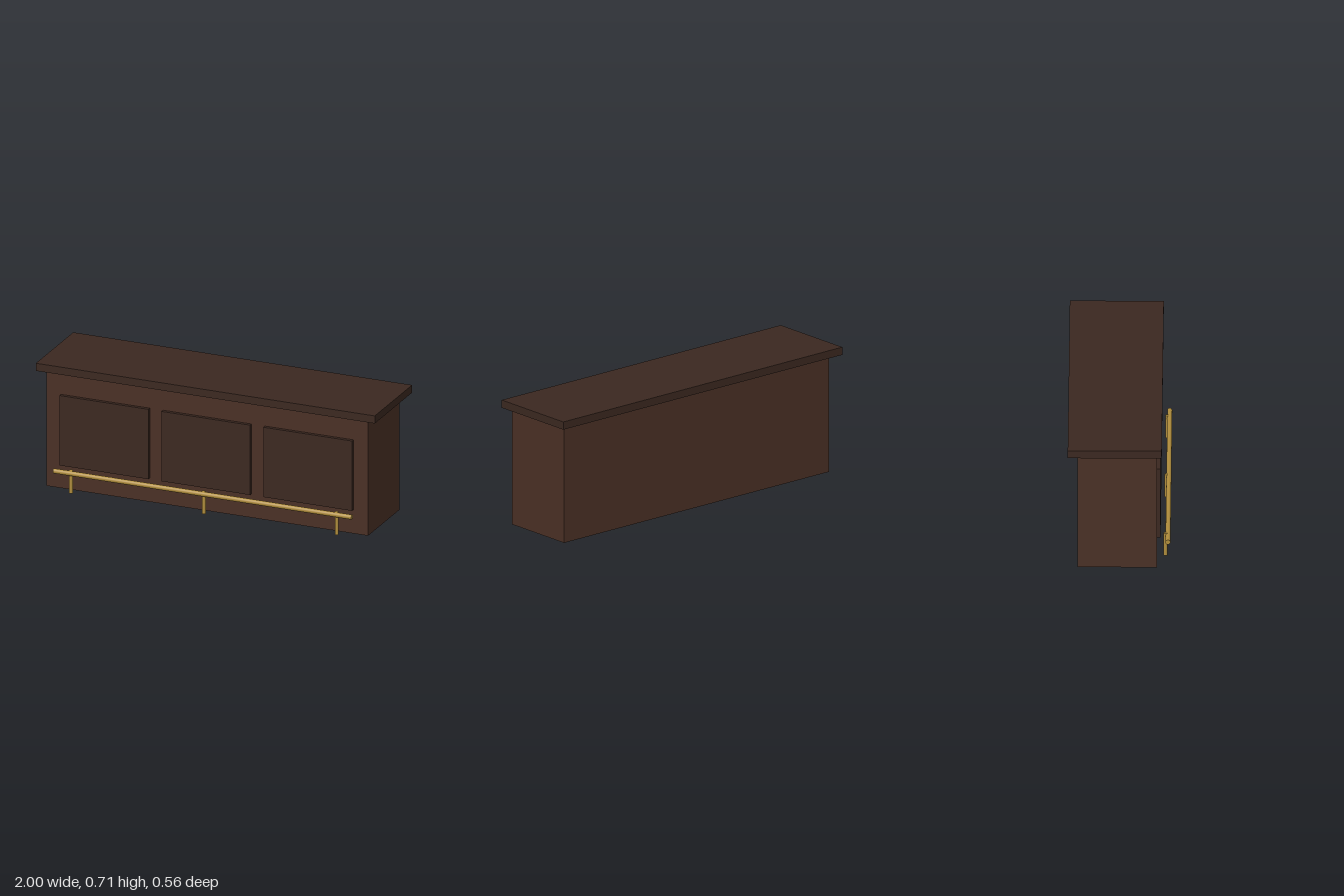
import * as THREE from 'three';

export function createModel() {
  const model = new THREE.Group();
  const wood = new THREE.MeshStandardMaterial({ color: 0x4a3025 });
  const darkWood = new THREE.MeshStandardMaterial({ color: 0x3b2820 });
  const brass = new THREE.MeshStandardMaterial({ color: 0xb08d3c });

  const add = (name, geometry, material, x, y, z) => {
    const mesh = new THREE.Mesh(geometry, material);
    mesh.name = name;
    mesh.position.set(x, y, z);
    model.add(mesh);
    return mesh;
  };

  // Counter body and overhanging top
  add('counterBody', new THREE.BoxGeometry(1.898, 0.668, 0.43), wood, 0, 0.334, -0.01);
  add('counterTop', new THREE.BoxGeometry(2, 0.044, 0.509), darkWood, 0, 0.69, -0.0225);

  // Raised front panels
  const panel = new THREE.BoxGeometry(0.523, 0.405, 0.04);
  for (const x of [-0.601, 0, 0.601]) add('frontPanel', panel, darkWood, x, 0.3405, 0.205);

  // Foot rail and its posts
  const rail = add('footRail', new THREE.CylinderGeometry(0.0135, 0.0135, 1.76, 24), brass, 0, 0.118, 0.265);
  rail.rotation.z = Math.PI / 2;
  const post = new THREE.CylinderGeometry(0.0105, 0.0105, 0.131, 20);
  for (const x of [-0.784, 0, 0.784]) add('railPost', post, brass, x, 0.0655, 0.2515);

  return model;
}
